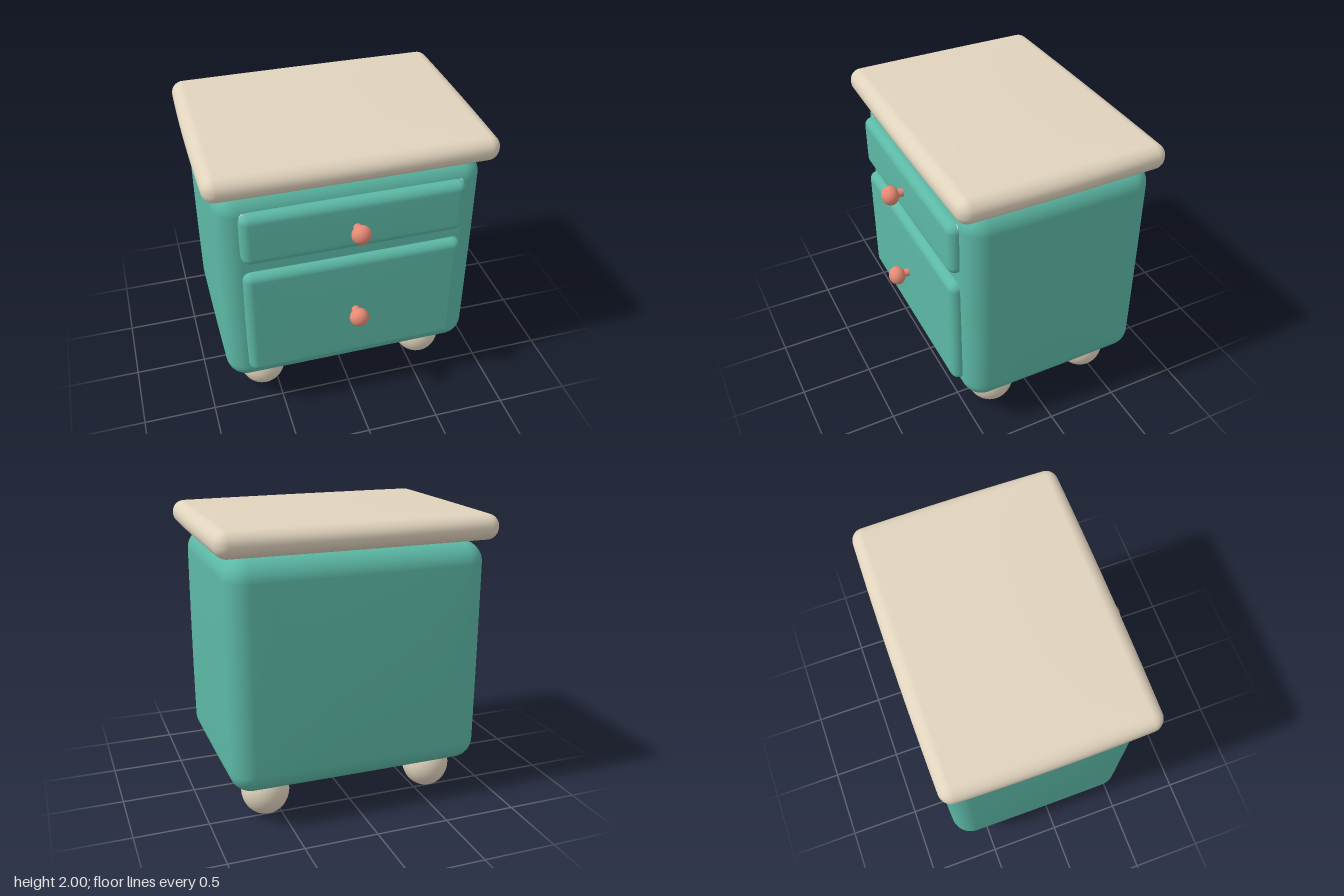
import * as THREE from 'three';
import { mergeVertices } from 'three/addons/utils/BufferGeometryUtils.js';

const teal = new THREE.MeshStandardMaterial({ color: 0x5cb8a5 });
const cream = new THREE.MeshStandardMaterial({ color: 0xe0d3bd });
const coral = new THREE.MeshStandardMaterial({ color: 0xe58a76 });

// Rounded box between two corners, its faces swelling by `bulge` to reach those bounds.
function softBox(min, max, r, bulge) {
  const lo = new THREE.Vector3(...min), hi = new THREE.Vector3(...max);
  const centre = lo.clone().add(hi).multiplyScalar(0.5);
  const half = hi.clone().sub(lo).multiplyScalar(0.5).subScalar(bulge);
  const inner = half.clone().subScalar(r);
  const n = 24, rim = 6;
  const g = new THREE.BoxGeometry(2, 2, 2, n, n, n);
  g.deleteAttribute('uv');
  g.deleteAttribute('normal');
  const pos = g.attributes.position;
  // crowd the grid lines into the rounded rims
  const spread = (t, axis) => {
    const k = Math.abs(t) * n / 2, flat = n / 2 - rim;
    const d = k <= flat
      ? inner[axis] * k / flat
      : inner[axis] + r * Math.tan((k - flat) / rim * Math.PI / 4);
    return Math.sign(t) * d;
  };
  const p = new THREE.Vector3(), core = new THREE.Vector3();
  for (let i = 0; i < pos.count; i++) {
    p.set(spread(pos.getX(i), 'x'), spread(pos.getY(i), 'y'), spread(pos.getZ(i), 'z'));
    core.copy(p).clamp(inner.clone().negate(), inner);
    p.sub(core).setLength(r).add(core);
    const u = p.clone().divide(half);
    const swell = (a, b) => bulge * (1 - a * a) * (1 - b * b);
    p.x += u.x * swell(u.y, u.z);
    p.y += u.y * swell(u.x, u.z);
    p.z += u.z * swell(u.x, u.y);
    p.add(centre);
    pos.setXYZ(i, p.x, p.y, p.z);
  }
  const out = mergeVertices(g, 1e-5);
  out.computeVertexNormals();
  return out;
}

export function createModel() {
  const model = new THREE.Group();
  model.name = 'nightstand';
  const add = (name, geometry, material, parent = model) => {
    const mesh = new THREE.Mesh(geometry, material);
    mesh.name = name;
    parent.add(mesh);
    return mesh;
  };

  // Cabinet and overhanging top
  add('cabinetBody', softBox([-0.885, 0.25, -0.745], [0.885, 1.82, 0.573], 0.14, 0.013), teal);
  add('tabletop', softBox([-0.95, 1.808, -0.772], [0.95, 2.0, 0.65], 0.078, 0.012), cream);

  // Drawers: bottom, top, knob height
  const drawers = [
    ['upperDrawer', 1.32, 1.7, 1.505],
    ['lowerDrawer', 0.395, 1.245, 0.82],
  ];
  for (const [name, y0, y1, knobY] of drawers) {
    const drawer = new THREE.Group();
    drawer.name = name;
    model.add(drawer);
    add('drawerLiner', softBox([-0.745, y0 - 0.006, 0.47], [0.745, y1 + 0.006, 0.57], 0.04, 0), cream, drawer);
    add('drawerFront', softBox([-0.74, y0, 0.48], [0.74, y1, 0.628], 0.055, 0.004), teal, drawer);

    // Knob on a short stem
    const stem = add('knobStem', new THREE.CylinderGeometry(0.028, 0.028, 0.1, 24), coral, drawer);
    stem.rotation.x = Math.PI / 2;
    stem.position.set(0, knobY, 0.64);
    const knob = add('knob', new THREE.SphereGeometry(0.065, 32, 24), coral, drawer);
    knob.scale.z = 0.89;
    knob.position.set(0, knobY, 0.715);
  }

  // Ball feet
  for (const x of [-0.6, 0.6]) {
    for (const z of [0.29, -0.46]) {
      const foot = add('foot', new THREE.SphereGeometry(0.163, 40, 28), cream);
      foot.scale.y = 1.06;
      foot.position.set(x, 0.174, z);
    }
  }
  return model;
}
